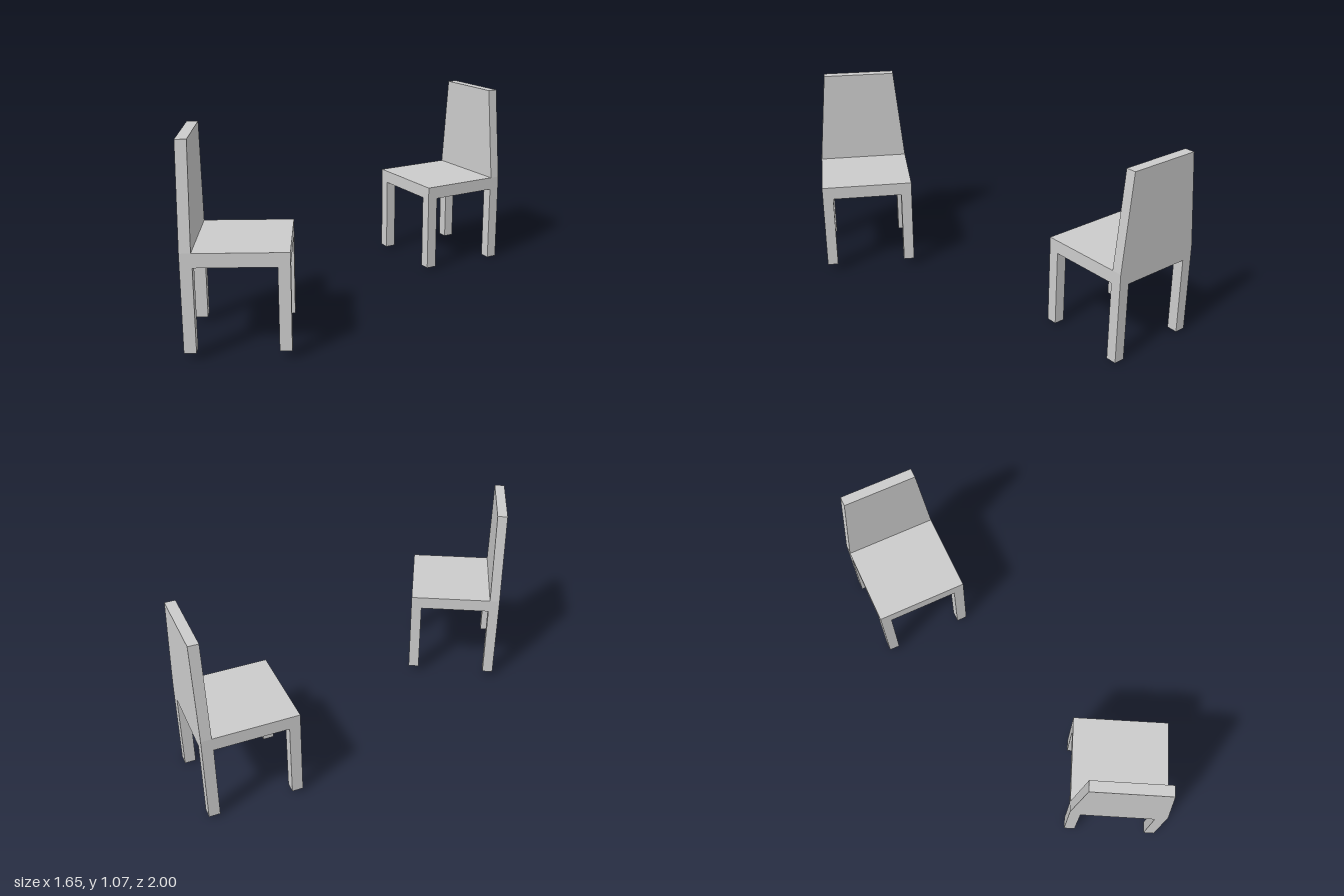
import * as THREE from 'three';

const material = new THREE.MeshStandardMaterial({ color: 0xcccccc, flatShading: true });

const SIZE = 0.516;      // seat width and depth
const HALF = SIZE / 2;
const SEAT_BOTTOM = 0.44, SEAT_TOP = 0.512, BACK_TOP = 1.04;
const LEG = 0.06, BACK_THICKNESS = 0.056;

// Box spanning y0..y1, centred on x, z
function block(name, w, d, y0, y1, x, z) {
  const mesh = new THREE.Mesh(new THREE.BoxGeometry(w, y1 - y0, d), material);
  mesh.position.set(x, (y0 + y1) / 2, z);
  mesh.name = name;
  return mesh;
}

// Chair facing its own +z
function createChair(name) {
  const chair = new THREE.Group();
  chair.name = name;
  chair.add(block('seat', SIZE, SIZE, SEAT_BOTTOM, SEAT_TOP, 0, 0));

  // Legs, cut at slightly uneven lengths
  const legs = [
    ['frontLeftLeg', 1, 1, 0.014], ['frontRightLeg', -1, 1, 0.014],
    ['backLeftLeg', 1, -1, 0], ['backRightLeg', -1, -1, 0.009],
  ];
  const offset = HALF - LEG / 2;
  for (const [legName, sx, sz, foot] of legs) {
    chair.add(block(legName, LEG, LEG, foot, SEAT_BOTTOM, sx * offset, sz * offset));
  }

  // Backrest: a slab that narrows toward the top
  const topHalf = 0.205;
  const outline = new THREE.Shape([
    new THREE.Vector2(-HALF, SEAT_TOP), new THREE.Vector2(HALF, SEAT_TOP),
    new THREE.Vector2(topHalf, BACK_TOP), new THREE.Vector2(-topHalf, BACK_TOP),
  ]);
  const backrest = new THREE.Mesh(
    new THREE.ExtrudeGeometry(outline, { depth: BACK_THICKNESS, bevelEnabled: false }), material);
  backrest.position.z = -HALF;
  backrest.name = 'backrest';
  chair.add(backrest);
  return chair;
}

export function createModel() {
  const model = new THREE.Group();
  model.name = 'twoChairs';

  const nearChair = createChair('nearChair');
  nearChair.position.set(-0.55, 0.027, 0.716);
  nearChair.rotation.y = 1.655;

  const farChair = createChair('farChair');
  farChair.position.set(0.467, 0, -0.643);
  farChair.rotation.y = -0.985;

  model.add(nearChair, farChair);
  return model;
}
